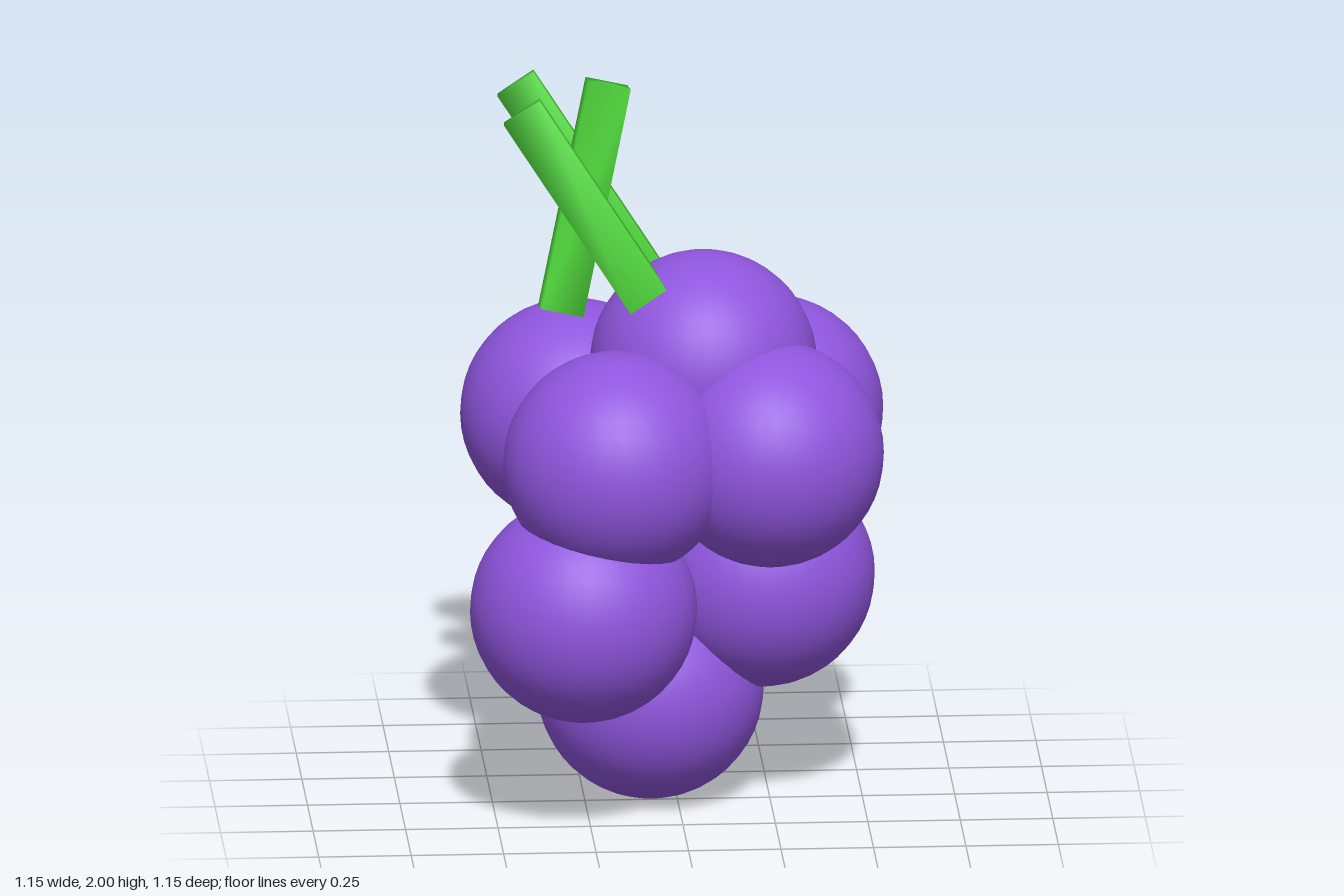
import * as THREE from 'three';
import { mergeVertices } from 'three/addons/utils/BufferGeometryUtils.js';

const RADIUS = 0.307;

// Berry centres, from the bottom of the bunch to the top
const BERRIES = [
  [-0.07, 0.31, -0.05],
  [-0.27, 0.62, 0.27], [0.23, 0.62, -0.05], [-0.06, 0.62, -0.27],
  [-0.265, 1.025, -0.25], [0.265, 1.025, -0.25],
  [0.24, 1.025, 0.19], [-0.18, 1.025, 0.265],
  [0.07, 1.23, 0.005],
];

// Stem centre lines: lower end, upper end
const STEMS = [
  [[-0.085, 1.44, -0.16], [-0.42, 1.94, -0.285]],
  [[-0.085, 1.44, 0.12], [-0.42, 1.94, -0.005]],
  [[-0.315, 1.38, 0.0], [-0.18, 1.985, -0.115]],
];

// Square rod with soft shading running between two points
function makeStem(from, to, material) {
  const a = new THREE.Vector3(...from);
  const b = new THREE.Vector3(...to);
  const dir = b.clone().sub(a);
  let geometry = new THREE.CylinderGeometry(0.082, 0.082, dir.length(), 4, 1, false, Math.PI / 4);
  geometry.deleteAttribute('normal');
  geometry.deleteAttribute('uv');
  geometry = mergeVertices(geometry);
  geometry.computeVertexNormals();
  const stem = new THREE.Mesh(geometry, material);
  stem.position.copy(a).add(b).multiplyScalar(0.5);
  stem.quaternion.setFromUnitVectors(new THREE.Vector3(0, 1, 0), dir.normalize());
  return stem;
}

export function createModel() {
  const model = new THREE.Group();
  model.name = 'grapeBunch';
  const purple = new THREE.MeshStandardMaterial({ color: 0x8f55dd });
  const green = new THREE.MeshStandardMaterial({ color: 0x50d83c });

  // Berries
  const berries = new THREE.Group();
  berries.name = 'berries';
  const sphere = new THREE.SphereGeometry(RADIUS, 32, 24);
  BERRIES.forEach((p, i) => {
    const berry = new THREE.Mesh(sphere, purple);
    berry.name = `berry${i + 1}`;
    berry.position.set(...p);
    berries.add(berry);
  });

  // Stems
  const stems = new THREE.Group();
  stems.name = 'stems';
  STEMS.forEach(([from, to], i) => {
    const stem = makeStem(from, to, green);
    stem.name = `stem${i + 1}`;
    stems.add(stem);
  });

  model.add(berries, stems);
  return model;
}
